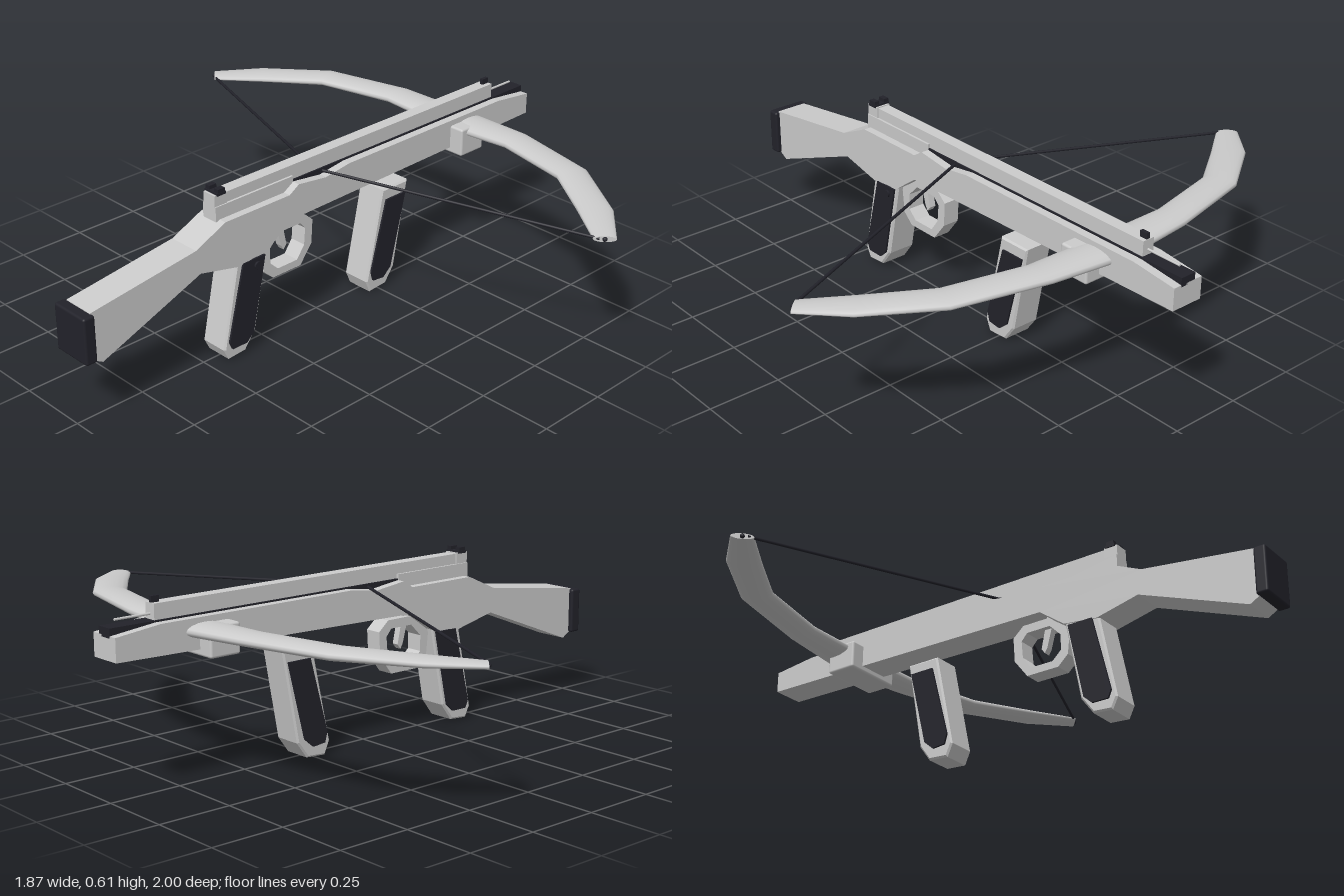
import * as THREE from 'three';
import { RoundedBoxGeometry } from 'three/addons/geometries/RoundedBoxGeometry.js';

const grey = new THREE.MeshStandardMaterial({ color: 0xcccccc });
const dark = new THREE.MeshStandardMaterial({ color: 0x22222a });

export function createModel() {
  const model = new THREE.Group();

  const add = (name, geometry, material = grey) => {
    const mesh = new THREE.Mesh(geometry, material);
    mesh.name = name;
    model.add(mesh);
    return mesh;
  };
  const vectors = (points) => points.map(([a, b]) => new THREE.Vector2(a, b));

  // Side outline given as [z, y], extruded across x and centred on x = 0
  const side = (name, points, width, material, hole, bevel = 0) => {
    const shape = new THREE.Shape(vectors(points));
    if (hole) shape.holes.push(new THREE.Path(vectors(hole)));
    const depth = width - 2 * bevel;
    const geometry = new THREE.ExtrudeGeometry(shape, {
      depth, bevelEnabled: bevel > 0, bevelSize: bevel, bevelOffset: -bevel,
      bevelThickness: bevel, bevelSegments: 1,
    });
    geometry.translate(0, 0, -depth / 2).rotateY(-Math.PI / 2);
    return add(name, geometry, material);
  };
  // Box from its limits
  const box = (name, x0, x1, y0, y1, z0, z1, material) => {
    const mesh = add(name, new THREE.BoxGeometry(x1 - x0, y1 - y0, z1 - z0), material);
    mesh.position.set((x0 + x1) / 2, (y0 + y1) / 2, (z0 + z1) / 2);
    return mesh;
  };

  // Stock and fore-end in one piece, with dips for the string and the nose
  side('stock', [
    [0.965, 0.395], [0.56, 0.45], [0.44, 0.505], [0.17, 0.505], [0.13, 0.53],
    [0.01, 0.515], [-0.095, 0.53], [-0.84, 0.53], [-1, 0.512], [-1, 0.437],
    [0.17, 0.415], [0.265, 0.345], [0.39, 0.33], [0.545, 0.365], [0.93, 0.215], [0.965, 0.235],
  ], 0.114, grey);

  const pad = add('buttPad', new RoundedBoxGeometry(0.146, 0.16, 0.042, 2, 0.008), dark);
  pad.position.set(0, 0.313, 0.979);

  // Rail on top, its dark bed and the rear post
  box('railBed', -0.028, 0.028, 0.505, 0.535, -1, 0.13, dark);
  box('rail', -0.022, 0.022, 0.533, 0.585, -0.84, 0.41);
  box('railFoot', -0.03, 0.03, 0.5, 0.55, 0.13, 0.455);
  box('rearPost', -0.026, 0.026, 0.545, 0.588, 0.405, 0.455);

  // Sights
  box('rearSightBase', -0.03, 0.03, 0.585, 0.594, 0.412, 0.447, dark);
  for (const s of [-1, 1]) box('rearSightPost', s * 0.02 - 0.009, s * 0.02 + 0.009, 0.59, 0.606, 0.415, 0.443, dark);
  box('frontSight', -0.006, 0.006, 0.58, 0.605, -0.838, -0.81, dark);

  // Bolt tip showing beyond the rail
  const bolt = add('bolt', new THREE.CylinderGeometry(0.004, 0.004, 0.17, 8).rotateX(Math.PI / 2));
  bolt.position.set(0, 0.552, -0.88);

  // Grips with dark side panels
  side('rearGrip', [
    [0.395, 0.34], [0.265, 0.35], [0.32, 0.07], [0.365, 0.01], [0.435, 0.005], [0.455, 0.045],
  ], 0.106, grey, null, 0.006);
  side('rearGripPanel', [
    [0.372, 0.335], [0.28, 0.335], [0.335, 0.07], [0.365, 0.043], [0.425, 0.043], [0.437, 0.07],
  ], 0.12, dark);
  side('foreGrip', [
    [-0.26, 0.375], [-0.383, 0.375], [-0.325, 0.06], [-0.285, 0.005], [-0.21, 0], [-0.19, 0.045],
  ], 0.106, grey, null, 0.006);
  side('foreGripPanel', [
    [-0.275, 0.335], [-0.365, 0.335], [-0.3, 0.07], [-0.265, 0.04], [-0.217, 0.045], [-0.207, 0.08],
  ], 0.12, dark);

  const button = add('button', new THREE.CylinderGeometry(0.013, 0.013, 0.012, 12).rotateZ(Math.PI / 2), dark);
  button.position.set(0.061, 0.31, 0.315);

  // Trigger and guard
  side('triggerGuard', [
    [0.185, 0.4], [0.085, 0.4], [0.045, 0.365], [0.05, 0.28],
    [0.1, 0.215], [0.222, 0.215], [0.26, 0.25], [0.27, 0.34],
  ], 0.06, grey, [
    [0.19, 0.37], [0.1, 0.37], [0.078, 0.345], [0.083, 0.285],
    [0.115, 0.241], [0.2, 0.241], [0.233, 0.272], [0.233, 0.327],
  ]);
  side('trigger', [[0.2, 0.42], [0.17, 0.42], [0.145, 0.305], [0.158, 0.288], [0.168, 0.305]], 0.024, grey);

  // Bracket holding the bow
  const bracket = add('bowBracket', new RoundedBoxGeometry(0.22, 0.1, 0.112, 2, 0.008));
  bracket.position.set(0, 0.46, -0.646);

  // Bow: oval sections between a front and a rear edge, mirrored in x
  // [front x, front z, rear x, rear z, y, half thickness]
  const half = [
    [0, -0.756, 0, -0.61, 0.488, 0.025],
    [0.275, -0.735, 0.275, -0.618, 0.498, 0.021],
    [0.595, -0.66, 0.55, -0.555, 0.498, 0.019],
    [0.817, -0.507, 0.73, -0.43, 0.49, 0.015],
    [0.934, -0.37, 0.88, -0.32, 0.483, 0.01],
  ];
  const mirrored = half.slice(1).reverse().map(([a, b, c, d, y, h]) => [-a, b, -c, d, y, h]);
  const stations = [...mirrored, ...half];
  const N = 16, positions = [], index = [];
  const ring = ([fx, fz, rx, rz, y, h]) => {
    for (let j = 0; j < N; j++) {
      const a = (j / N) * Math.PI * 2, c = Math.cos(a) / 2;
      positions.push((fx + rx) / 2 + (fx - rx) * c, y + h * Math.sin(a), (fz + rz) / 2 + (fz - rz) * c);
    }
  };
  stations.forEach(ring);
  for (let i = 0; i < stations.length - 1; i++) {
    for (let j = 0; j < N; j++) {
      const k = (j + 1) % N, a = i * N, b = a + N;
      index.push(a + j, a + k, b + j, a + k, b + k, b + j);
    }
  }
  // End caps on their own vertices
  [stations[0], stations[stations.length - 1]].forEach((station, end) => {
    const base = positions.length / 3;
    ring(station);
    for (let j = 1; j < N - 1; j++) {
      index.push(base, base + (end ? j : j + 1), base + (end ? j + 1 : j));
    }
  });
  const bow = new THREE.BufferGeometry();
  bow.setAttribute('position', new THREE.Float32BufferAttribute(positions, 3));
  bow.setIndex(index);
  bow.computeVertexNormals();
  add('bow', bow);

  // String from tip to tip, bent at the rail, with a nock at each tip
  const path = new THREE.CurvePath();
  const corners = [[-0.895, 0.484, -0.335], [-0.02, 0.525, 0], [0.02, 0.525, 0], [0.895, 0.484, -0.335]]
    .map((p) => new THREE.Vector3(...p));
  for (let i = 0; i < 3; i++) path.add(new THREE.LineCurve3(corners[i], corners[i + 1]));
  add('string', new THREE.TubeGeometry(path, 120, 0.005, 8), dark);
  for (const s of [-1, 1]) {
    const nock = add('nock', new THREE.SphereGeometry(0.008, 10, 8), dark);
    nock.position.set(s * 0.907, 0.483, -0.345);
  }

  return model;
}
